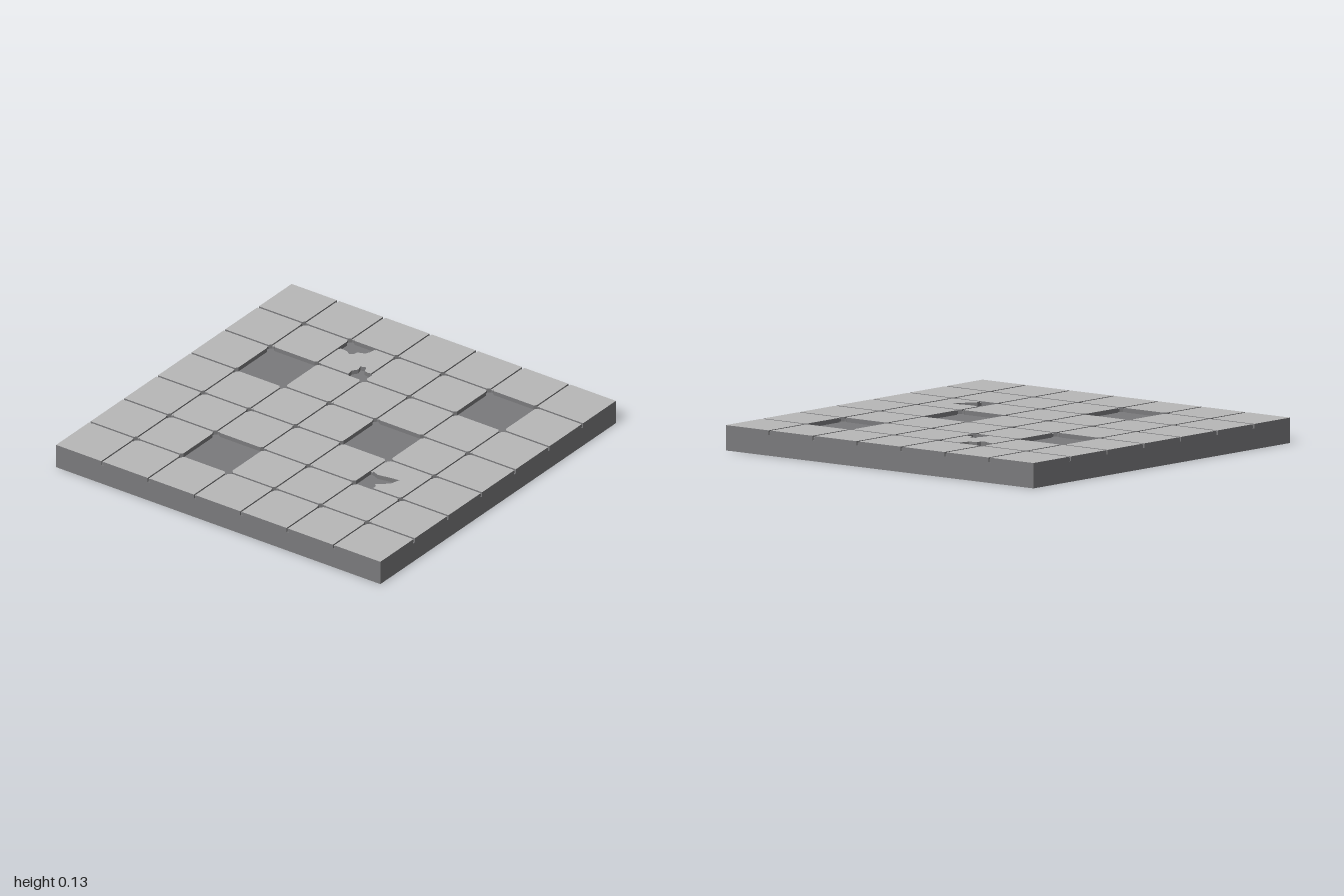
import * as THREE from 'three';

const N = 7, P = 2 / N;                       // tiles per side, tile pitch
const SLAB = 0.105, GROOVE = 0.12, TOP = 0.128; // heights
const GAP = 0.007, CUT = 0.013;               // half groove width, corner cut

export function createModel() {
  const model = new THREE.Group();
  model.name = 'tiledFloor';
  const tileGrey = new THREE.MeshStandardMaterial({ color: 0xb8b8b8 });
  tileGrey.name = 'light grey tile';
  const stoneGrey = new THREE.MeshStandardMaterial({ color: 0x7a7a7c });
  stoneGrey.name = 'dark grey stone';

  // Slab under the tiles
  const slab = new THREE.Mesh(new THREE.BoxGeometry(2, SLAB, 2), stoneGrey);
  slab.name = 'slab';
  slab.position.y = SLAB / 2;
  model.add(slab);

  const missing = new Set(['5,1', '1,2', '4,3', '2,5']);

  // Outlines (x, z) of tiles with broken corners
  const broken = {
    '2,1': [[-0.275, -0.707], [-0.163, -0.707], [-0.15, -0.694], [-0.15, -0.505],
      [-0.165, -0.5], [-0.19, -0.505], [-0.205, -0.54], [-0.235, -0.53], [-0.225, -0.5],
      [-0.245, -0.47], [-0.24, -0.436], [-0.409, -0.436], [-0.422, -0.449], [-0.422, -0.62],
      [-0.38, -0.615], [-0.355, -0.6], [-0.335, -0.61], [-0.33, -0.635], [-0.29, -0.65], [-0.28, -0.675]],
    '5,4': [[0.436, 0.163], [0.449, 0.15], [0.694, 0.15], [0.707, 0.163], [0.707, 0.409],
      [0.694, 0.422], [0.535, 0.422], [0.535, 0.4], [0.52, 0.385], [0.55, 0.36],
      [0.58, 0.33], [0.595, 0.28], [0.53, 0.29], [0.475, 0.3], [0.436, 0.285]],
  };

  // Whole tile: square with cut corners, flush with the slab at the rim
  function tileOutline(i, j) {
    const x0 = -1 + i * P + (i > 0 ? GAP : 0), x1 = -1 + (i + 1) * P - (i < N - 1 ? GAP : 0);
    const z0 = -1 + j * P + (j > 0 ? GAP : 0), z1 = -1 + (j + 1) * P - (j < N - 1 ? GAP : 0);
    const outline = [];
    const corner = (x, z, sx, sz, xFirst) => {
      if (Math.abs(x) > 0.99 || Math.abs(z) > 0.99) return outline.push([x, z]);
      const a = [x + sx * CUT, z], b = [x, z + sz * CUT];
      outline.push(...(xFirst ? [a, b] : [b, a]));
    };
    corner(x0, z0, 1, 1, false);
    corner(x1, z0, -1, 1, true);
    corner(x1, z1, -1, -1, false);
    corner(x0, z1, 1, -1, true);
    return outline;
  }

  const tiles = new THREE.Group();
  tiles.name = 'tiles';
  for (let i = 0; i < N; i++) {
    for (let j = 0; j < N; j++) {
      const key = `${i},${j}`;
      if (missing.has(key)) continue;
      const points = (broken[key] || tileOutline(i, j)).map(([x, z]) => new THREE.Vector2(x, -z));
      const geometry = new THREE.ExtrudeGeometry(new THREE.Shape(points), { depth: TOP - SLAB, bevelEnabled: false });
      geometry.rotateX(-Math.PI / 2).translate(0, SLAB, 0);
      const tile = new THREE.Mesh(geometry, [tileGrey, stoneGrey]);
      tile.name = broken[key] ? 'brokenTile' : 'tile';
      tiles.add(tile);
    }
  }
  model.add(tiles);

  // Joints between neighbouring tiles, lower than the tile tops;
  // those beside a broken corner are shortened
  const trims = {
    'x1,1': [-0.62, -0.449], 'x2,1': [-0.694, -0.505], 'x4,4': [0.163, 0.285],
    'z2,0': [-0.275, -0.163], 'z2,1': [-0.409, -0.24], 'z5,4': [0.535, 0.694],
  };
  const joints = new THREE.Group();
  joints.name = 'joints';
  const sides = [stoneGrey, stoneGrey, tileGrey, stoneGrey, stoneGrey, stoneGrey];
  for (let a = 0; a < N - 1; a++) {
    for (let b = 0; b < N; b++) {
      for (const axis of ['x', 'z']) {
        const [i, j] = axis === 'x' ? [a, b] : [b, a];
        const next = axis === 'x' ? `${i + 1},${j}` : `${i},${j + 1}`;
        if (missing.has(`${i},${j}`) || missing.has(next)) continue;
        const [start, end] = trims[`${axis}${i},${j}`] || [
          -1 + b * P + (b > 0 ? GAP + CUT : 0.008),
          -1 + (b + 1) * P - (b < N - 1 ? GAP + CUT : 0.008)];
        const line = -1 + (a + 1) * P, length = end - start, mid = (start + end) / 2;
        const size = axis === 'x' ? [2 * GAP, length] : [length, 2 * GAP];
        const joint = new THREE.Mesh(new THREE.BoxGeometry(size[0], GROOVE - SLAB, size[1]), sides);
        joint.name = 'joint';
        joint.position.set(axis === 'x' ? line : mid, (GROOVE + SLAB) / 2, axis === 'x' ? mid : line);
        joints.add(joint);
      }
    }
  }
  model.add(joints);
  return model;
}
